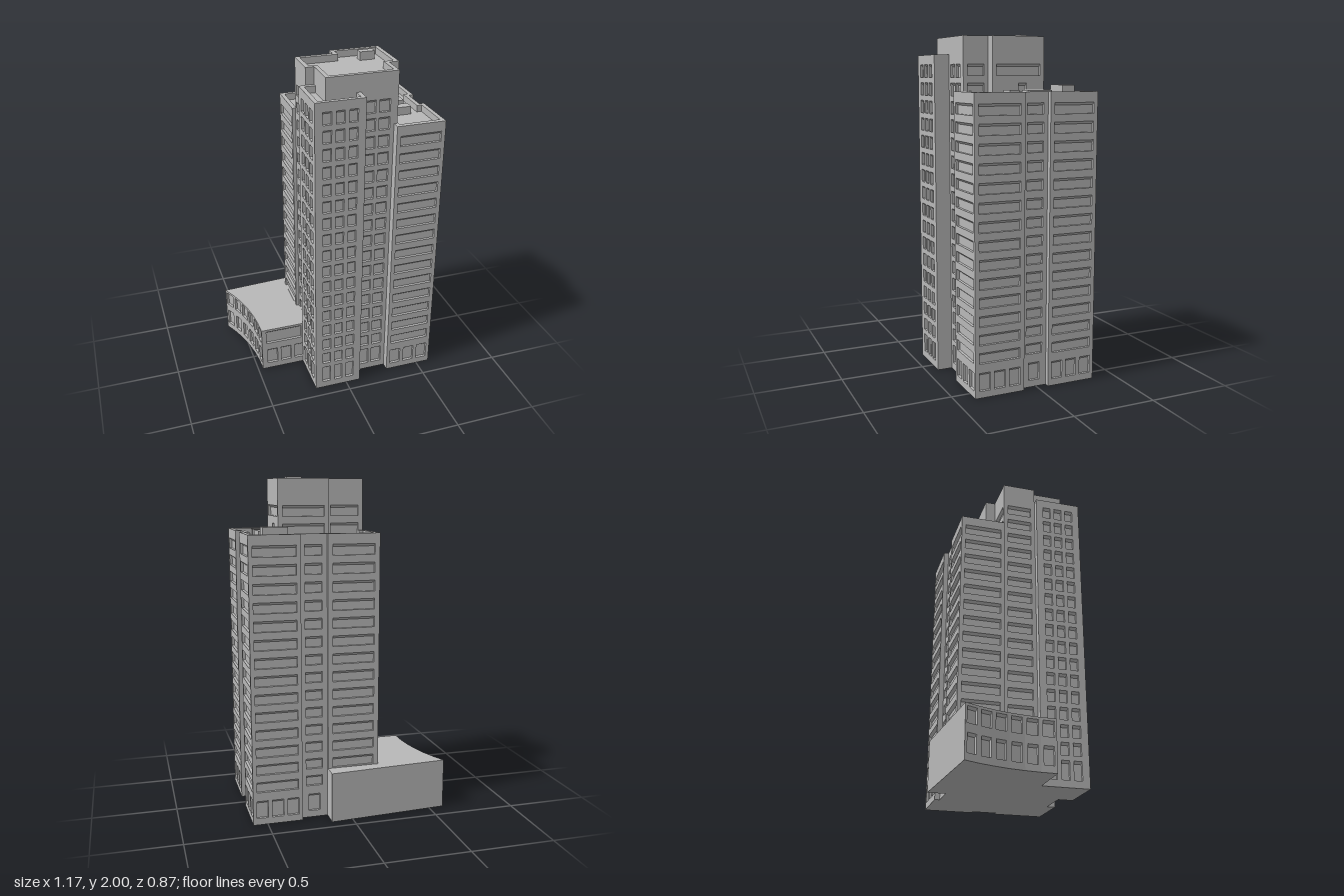
import * as THREE from 'three';
import { mergeGeometries } from 'three/addons/utils/BufferGeometryUtils.js';

const FLOOR = 0.105, FIRST_HEAD = 0.26, DEPTH = 0.016, SLOPE = 0.014;

const concrete = new THREE.MeshStandardMaterial({ color: 0xb8b8b8 });
concrete.name = 'concrete grey';

// ---- window layouts: u = offset from the wall centre, seen from outside ----
const row = (n, pitch, centre = 0) =>
  Array.from({ length: n }, (_, i) => centre + (i - (n - 1) / 2) * pitch);

const openings = (us, w, top, h) => us.map(u => ({ u, w, top, h }));

// one ribbon window per floor, optionally with doors at ground level
function ribbons(w, from, to, doors = 0) {
  const out = openings(row(doors, 0.092), 0.068, 0.145, 0.105);
  for (let i = from; i <= to; i++) out.push(...openings([0], w, FIRST_HEAD + i * FLOOR, 0.062));
  return out;
}

// several upright windows on every floor
function punched(us, w) {
  const out = [];
  for (let i = -1; i <= 15; i++) out.push(...openings(us, w, FIRST_HEAD + i * FLOOR, i < 0 ? 0.112 : 0.075));
  return out;
}

// ---- geometry helpers ----
function plain(geo) {
  const g = geo.index ? geo.toNonIndexed() : geo;
  g.deleteAttribute('uv');
  return g;
}

function quads(list) {
  const p = [];
  for (const [a, b, c, d] of list) p.push(...a, ...b, ...c, ...a, ...c, ...d);
  const g = new THREE.BufferGeometry();
  g.setAttribute('position', new THREE.Float32BufferAttribute(p, 3));
  g.computeVertexNormals();
  return g;
}

// recess with a sloping head
function recess({ u, w, top, h }) {
  const l = u - w / 2, r = u + w / 2, b = top - h, d = -DEPTH, t = top - SLOPE;
  return quads([
    [[l, b, d], [r, b, d], [r, t, d], [l, t, d]],
    [[l, t, d], [r, t, d], [r, top, 0], [l, top, 0]],
    [[l, b, 0], [r, b, 0], [r, b, d], [l, b, d]],
    [[l, b, 0], [l, b, d], [l, t, d], [l, top, 0]],
    [[r, b, d], [r, b, 0], [r, top, 0], [r, t, d]],
  ]);
}

const rect = (C, l, b, r, t) =>
  new C([[l, b], [r, b], [r, t], [l, t]].map(p => new THREE.Vector2(...p)));

// vertical wall from a to b, facing left of the direction of travel (seen from above)
function wall(a, b, y0, y1, wins = []) {
  const len = Math.hypot(b[0] - a[0], b[1] - a[1]);
  const shape = rect(THREE.Shape, -len / 2, y0, len / 2, y1);
  for (const o of wins)
    shape.holes.push(rect(THREE.Path, o.u - o.w / 2, o.top - o.h, o.u + o.w / 2, o.top));
  const u = new THREE.Vector3(a[0] - b[0], 0, a[1] - b[1]).normalize();
  const up = new THREE.Vector3(0, 1, 0);
  const m = new THREE.Matrix4().makeBasis(u, up, u.clone().cross(up));
  m.setPosition((a[0] + b[0]) / 2, 0, (a[1] + b[1]) / 2);
  return {
    face: plain(new THREE.ShapeGeometry(shape)).applyMatrix4(m),
    wins: wins.map(o => recess(o).applyMatrix4(m)),
  };
}

function slab(points, y, hole, down = false) {
  const s = down ? 1 : -1;
  const to2 = pts => pts.map(p => new THREE.Vector2(p[0], s * p[1]));
  const shape = new THREE.Shape(to2(points));
  if (hole) shape.holes.push(new THREE.Path(to2(hole)));
  return plain(new THREE.ShapeGeometry(shape)).rotateX(s * Math.PI / 2).translate(0, y, 0);
}

// building volume: walls with windows, underside, roof and optional parapet
function block(name, outline, height, inner, roofY) {
  const group = new THREE.Group();
  group.name = name;
  const add = (part, geos) => {
    if (!geos.length) return;
    const mesh = new THREE.Mesh(mergeGeometries(geos), concrete);
    mesh.name = part;
    group.add(mesh);
  };
  const sides = outline.map((p, i) => wall(p, outline[(i + 1) % outline.length], 0, height, p[2]));
  add('walls', sides.map(s => s.face));
  add('windows', sides.flatMap(s => s.wins));
  add('underside', [slab(outline, 0, null, true)]);
  if (inner) {
    const lining = inner.map((p, i) => wall(inner[(i + 1) % inner.length], p, roofY, height).face);
    add('parapet', [slab(outline, height, inner), ...lining]);
    add('roof', [slab(inner, roofY)]);
  } else add('roof', [slab(outline, height)]);
  return group;
}

function roofBox(name, x0, x1, z0, z1, y0, y1) {
  const mesh = new THREE.Mesh(new THREE.BoxGeometry(x1 - x0, y1 - y0, z1 - z0), concrete);
  mesh.name = name;
  mesh.position.set((x0 + x1) / 2, (y0 + y1) / 2, (z0 + z1) / 2);
  return mesh;
}

export function createModel() {
  const model = new THREE.Group();
  model.name = 'towerBlock';

  // lower L-shaped wing around the back and left of the core
  const wide = ribbons(0.248, 0, 13, 3), narrow = ribbons(0.1, 0, 13, 1);
  model.add(block('lowerWing', [
    [-0.18, -0.345, ribbons(0.25, 1, 13)], [0.13, -0.345], [0.13, -0.33, narrow], [0.29, -0.33],
    [0.29, -0.36, wide], [0.585, -0.36, wide], [0.585, -0.063], [0.555, -0.063, narrow],
    [0.555, 0.09], [0.585, 0.09, wide], [0.585, 0.39, wide], [0.29, 0.39], [0.29, 0],
    [-0.14, 0], [-0.14, -0.067], [-0.18, -0.067, ribbons(0.23, 1, 13)],
  ], 1.685, [
    [-0.155, -0.32], [0.11, -0.32], [0.11, -0.305], [0.315, -0.305], [0.315, -0.335],
    [0.56, -0.335], [0.56, -0.09], [0.53, -0.09], [0.53, 0.115], [0.56, 0.115],
    [0.56, 0.36], [0.315, 0.36], [0.315, 0.315], [0.3, 0.315], [0.3, -0.01],
    [-0.13, -0.01], [-0.13, -0.095], [-0.155, -0.095],
  ], 1.645));

  // tall central core
  const door = openings([0.025], 0.05, FIRST_HEAD + 14 * FLOOR, 0.08);
  model.add(block('core', [
    [0.065, -0.13, ribbons(0.25, 14, 15)], [0.37, -0.13, [...ribbons(0.27, 15, 15), ...door]],
    [0.37, 0.19], [0.31, 0.19, ribbons(0.1, 14, 15)],
    [0.31, 0.34, punched([0.0475, 0.1325], 0.065)], [-0.11, 0.34], [-0.11, 0.14],
    [-0.16, 0.14, ribbons(0.155, 1, 15)], [-0.16, -0.067, ribbons(0.17, 14, 15)], [0.065, -0.067],
  ], 1.99, [
    [0.09, -0.105], [0.345, -0.105], [0.345, 0.165], [0.285, 0.165], [0.285, 0.315],
    [-0.085, 0.315], [-0.085, 0.115], [-0.135, 0.115], [-0.135, -0.04], [0.09, -0.04],
  ], 1.95));

  // front corner wing
  const triple = punched(row(3, 0.075), 0.05);
  model.add(block('frontWing', [
    [-0.2, 0.14], [-0.1, 0.14], [-0.1, 0.33], [0.09, 0.33], [0.09, 0.43, triple], [-0.2, 0.43, triple],
  ], 1.89, [
    [-0.175, 0.165], [-0.105, 0.165], [-0.105, 0.335], [0.065, 0.335], [0.065, 0.405], [-0.175, 0.405],
  ], 1.85));

  // low annex with a concave end
  const bay = [...openings([0], 0.066, 0.285, 0.09), ...openings([0], 0.06, 0.145, 0.105)];
  const front = [
    ...openings([-0.04], 0.23, 0.285, 0.09),
    ...openings(row(3, 0.09, -0.027), 0.066, 0.145, 0.105),
  ];
  const curve = new THREE.QuadraticBezierCurve(
    new THREE.Vector2(-0.47, 0.14), new THREE.Vector2(-0.465, -0.15), new THREE.Vector2(-0.59, -0.39));
  const end = curve.getSpacedPoints(6).slice(0, 6).map(p => [p.x, p.y, bay]);
  model.add(block('annex', [
    [-0.59, -0.39], [0.13, -0.435], [0.13, -0.3], [-0.1, -0.3], [-0.1, 0.14, front], ...end,
  ], 0.3));

  // rooftop plant
  model.add(
    roofBox('plantRoom', 0.34, 0.485, -0.265, -0.19, 1.64, 1.72),
    roofBox('longVent', 0.405, 0.483, -0.123, -0.023, 1.64, 1.693),
    roofBox('longVentEnd', 0.405, 0.483, -0.024, 0.025, 1.64, 1.693),
    roofBox('smallVent', 0.4, 0.483, 0.078, 0.135, 1.64, 1.693),
    roofBox('coreVent', 0.212, 0.302, -0.055, -0.01, 1.94, 2.0),
  );
  return model;
}
